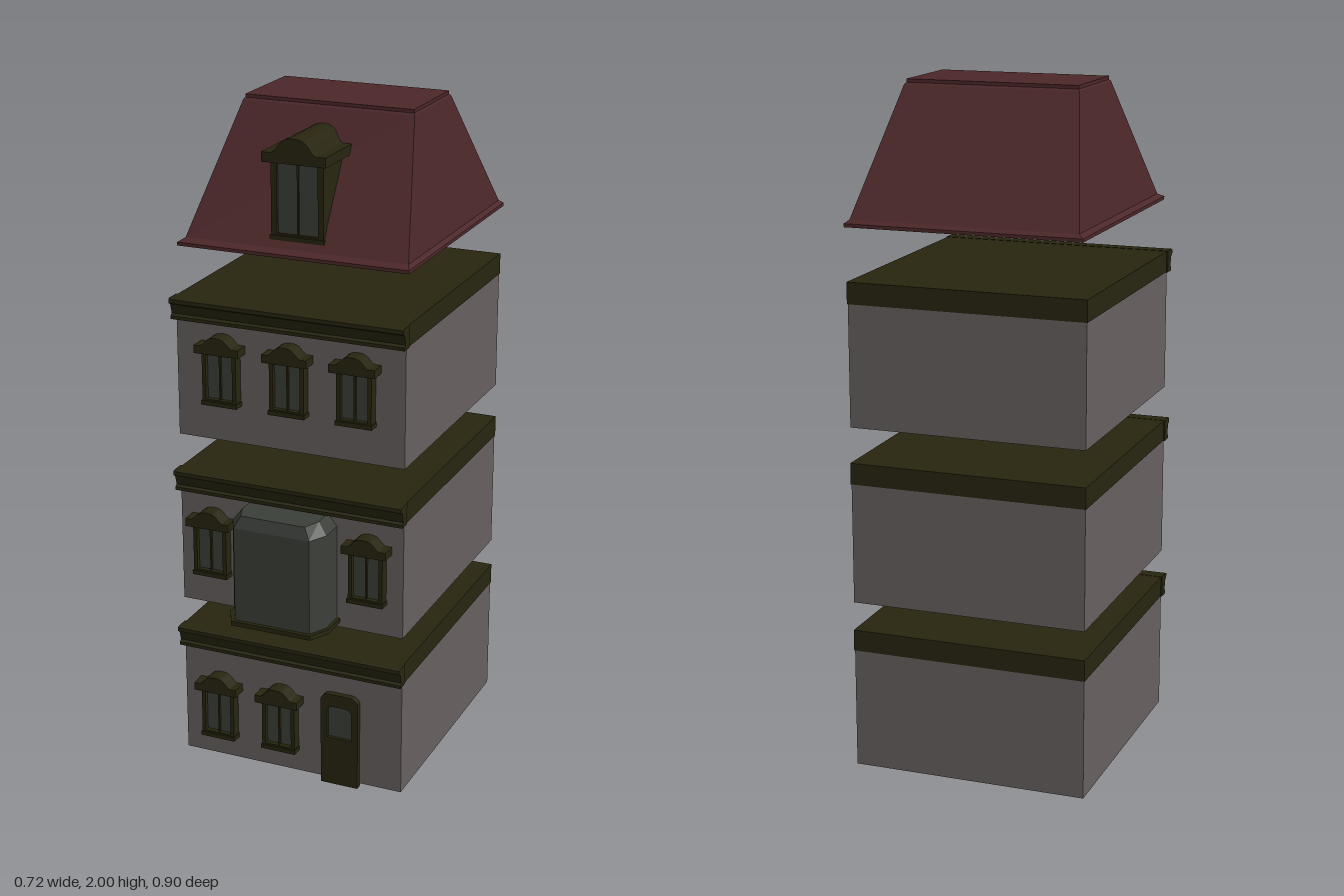
import * as THREE from 'three';

const mat = (name, color, side = THREE.FrontSide) => {
  const m = new THREE.MeshStandardMaterial({ color, side });
  m.name = name;
  return m;
};

export function createModel() {
  const wall = mat('wall stone', 0x686060);
  const trim = mat('dark olive trim', 0x27250f);
  const tile = mat('red roof tile', 0x4c2729);
  const glass = mat('grey green glass', 0x3b3f39);
  const house = new THREE.Group();
  house.name = 'house';

  const add = (parent, name, geometry, material, x = 0, y = 0, z = 0) => {
    const mesh = new THREE.Mesh(geometry, material);
    mesh.name = name;
    mesh.position.set(x, y, z);
    parent.add(mesh);
    return mesh;
  };
  // Box given by its lower and upper corner
  const block = (parent, name, material, [x0, y0, z0], [x1, y1, z1]) =>
    add(parent, name, new THREE.BoxGeometry(x1 - x0, y1 - y0, z1 - z0), material,
      (x0 + x1) / 2, (y0 + y1) / 2, (z0 + z1) / 2);
  const extrude = (shape, depth) =>
    new THREE.ExtrudeGeometry(shape, { depth, bevelEnabled: false, curveSegments: 8 });

  // Closed faceted solid through horizontal rings: [y, [[x, z], ...]]
  const loft = (rings) => {
    const p = [];
    const n = rings[0][1].length;
    const put = (r, i) => p.push(rings[r][1][i % n][0], rings[r][0], rings[r][1][i % n][1]);
    for (let r = 0; r < rings.length - 1; r++) {
      for (let i = 0; i < n; i++) {
        put(r, i); put(r, i + 1); put(r + 1, i + 1);
        put(r, i); put(r + 1, i + 1); put(r + 1, i);
      }
    }
    const top = rings.length - 1;
    for (let i = 1; i < n - 1; i++) {
      put(top, 0); put(top, i); put(top, i + 1);
      put(0, 0); put(0, i + 1); put(0, i);
    }
    const g = new THREE.BufferGeometry();
    g.setAttribute('position', new THREE.Float32BufferAttribute(p, 3));
    g.computeVertexNormals();
    return g;
  };
  const rect = (x0, x1, z0, z1) => [[x0, z1], [x1, z1], [x1, z0], [x0, z0]];

  // Upright panel with a gently arched top
  const archPath = (Type, w, y0, y1, rise) => {
    const s = new Type();
    s.moveTo(-w / 2, y0);
    s.lineTo(w / 2, y0);
    s.lineTo(w / 2, y1 - rise);
    s.quadraticCurveTo(w / 2 - rise * 0.4, y1, w / 4, y1);
    s.lineTo(-w / 4, y1);
    s.quadraticCurveTo(-w / 2 + rise * 0.4, y1, -w / 2, y1 - rise);
    s.closePath();
    return s;
  };
  // Flat shelf with a rounded pediment in the middle
  const hoodShape = (w, shelf, h) => {
    const s = new THREE.Shape();
    s.moveTo(-w / 2, 0);
    s.lineTo(w / 2, 0);
    s.lineTo(w / 2, shelf);
    s.lineTo(w * 0.36, shelf);
    s.bezierCurveTo(w * 0.24, shelf + 0.006, w * 0.25, h, 0, h);
    s.bezierCurveTo(-w * 0.25, h, -w * 0.24, shelf + 0.006, -w * 0.36, shelf);
    s.lineTo(-w / 2, shelf);
    s.closePath();
    return s;
  };

  // Framed sash window, origin at bottom centre on the wall plane
  const addWindow = (parent, x, y, z, w, h, hoodW, hoodH, depth) => {
    const g = new THREE.Group();
    g.name = 'window';
    g.position.set(x, y, z);
    parent.add(g);
    const frame = new THREE.Shape([[-w / 2, 0], [w / 2, 0], [w / 2, h], [-w / 2, h]]
      .map(([a, b]) => new THREE.Vector2(a, b)));
    frame.holes.push(archPath(THREE.Path, w * 0.78, 0.018, h, 0.018));
    add(g, 'windowFrame', extrude(frame, depth), trim);
    block(g, 'windowGlass', glass, [-w * 0.42, 0.01, 0.002], [w * 0.42, h - 0.002, depth * 0.55]);
    block(g, 'mullion', trim, [-0.0025, 0.01, 0.004], [0.0025, h - 0.002, depth * 0.8]);
    block(g, 'windowSill', trim, [-w / 2 - 0.003, 0, 0], [w / 2 + 0.003, 0.013, depth + 0.004]);
    add(g, 'windowHood', extrude(hoodShape(hoodW, 0.024, hoodH), depth + 0.017), trim, 0, h - 0.006, 0);
  };

  // Three storeys, each a wall block, a flat slab and a front cornice
  const cornice = new THREE.Shape([[0.3, 0], [0.335, 0], [0.335, 0.01], [0.328, 0.016],
    [0.336, 0.045], [0.346, 0.05], [0.346, 0.062], [0.34, 0.065], [0.3, 0.065]]
    .map(([z, y]) => new THREE.Vector2(-z, y)));
  const storeys = [0.01, 0.515, 1.04].map((y, i) => {
    const g = new THREE.Group();
    g.name = ['groundFloor', 'middleFloor', 'upperFloor'][i];
    house.add(g);
    block(g, 'walls', wall, [-0.358, y, -0.45], [0.345, y + 0.357, 0.31]);
    block(g, 'ceilingSlab', trim, [-0.36, y + 0.357, -0.452], [0.347, y + 0.42, 0.311]);
    add(g, 'cornice', extrude(cornice, 0.714), trim, -0.364, y + 0.356, 0).rotation.y = Math.PI / 2;
    return g;
  });
  [[0, -0.238, 0.08], [0, -0.038, 0.08], [1, -0.253, 0.615], [1, 0.24, 0.615],
    [2, -0.212, 1.155], [2, -0.002, 1.155], [2, 0.203, 1.155]].forEach(([f, x, y]) =>
    addWindow(storeys[f], x, y, 0.31, 0.106, 0.164, 0.138, 0.052, 0.032));

  // Front door with an arched top and a small pane
  const door = new THREE.Group();
  door.name = 'frontDoor';
  door.position.set(0.154, 0, 0.305);
  storeys[0].add(door);
  const leaf = archPath(THREE.Shape, 0.118, 0, 0.298, 0.018);
  leaf.holes.push(archPath(THREE.Path, 0.076, 0.155, 0.258, 0.014));
  add(door, 'doorLeaf', extrude(leaf, 0.023), trim);
  block(door, 'doorPane', glass, [-0.045, 0.15, 0.006], [0.045, 0.265, 0.014]);

  // Bay window with angled corners, sloped cap and dark base
  const bay = (x, chamferZ, frontX, frontZ) => [[-x, 0.305], [-x, chamferZ], [-frontX, frontZ],
    [frontX, frontZ], [x, chamferZ], [x, 0.305]].map(([a, b]) => [a - 0.008, b]);
  const bayBody = bay(0.147, 0.385, 0.118, 0.44);
  add(storeys[1], 'bayWindow', loft([[0.542, bayBody], [0.832, bayBody],
    [0.868, bay(0.12, 0.375, 0.1, 0.428)]]), glass);
  const bayBase = bay(0.157, 0.39, 0.125, 0.452);
  add(storeys[1], 'bayBase', loft([[0.529, bayBase], [0.543, bayBase]]), trim);

  // Hipped mansard roof with a moulded lip and a flat top
  const roof = new THREE.Group();
  roof.name = 'roof';
  house.add(roof);
  add(roof, 'roofSlopes', loft([
    [1.612, rect(-0.342, 0.356, -0.442, 0.325)],
    [1.622, rect(-0.342, 0.356, -0.442, 0.325)],
    [1.632, rect(-0.327, 0.345, -0.427, 0.302)],
    [1.985, rect(-0.25, 0.27, -0.205, 0.078)],
    [1.99, rect(-0.246, 0.266, -0.198, 0.072)],
    [2.0, rect(-0.246, 0.266, -0.198, 0.072)]]), tile);

  // Dormer set into the front slope
  const dormer = new THREE.Group();
  dormer.name = 'dormer';
  roof.add(dormer);
  block(dormer, 'dormerBody', trim, [-0.068, 1.655, 0.1], [0.088, 1.89, 0.268]);
  addWindow(dormer, 0.01, 1.652, 0.266, 0.158, 0.228, 0.192, 0.07, 0.02);
  add(dormer, 'dormerRoof', extrude(hoodShape(0.192, 0.028, 0.072), 0.21), trim, 0.01, 1.874, 0.1);
  return house;
}
